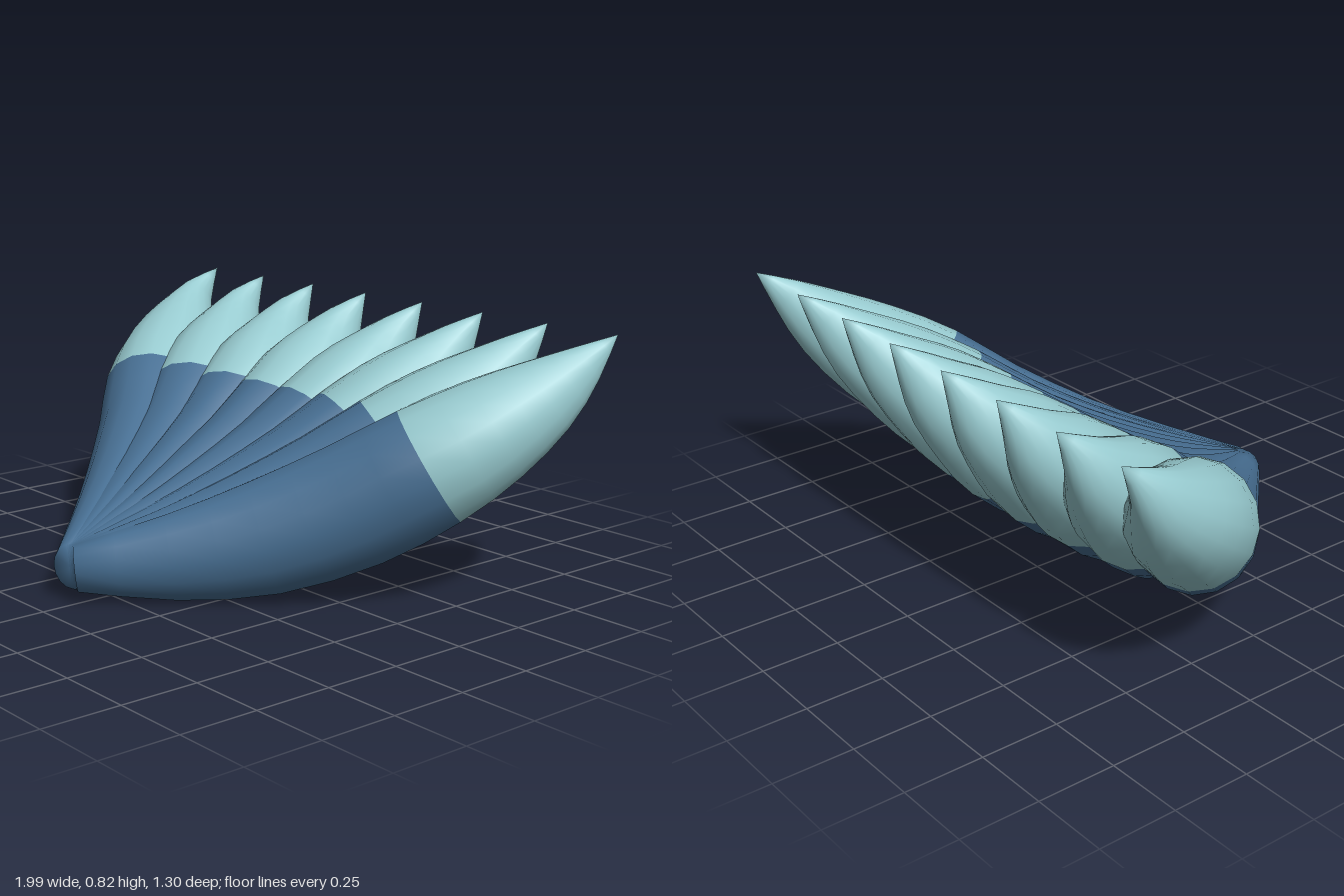
import * as THREE from 'three';

const SIDES = 16;
const FEATHERS = 8;
const STEPS = 2; // rings per station
const COLOUR_STATION = 4; // station where the pale tip begins

// Stations from root to tip:
// [centre x, sideways spread, y, z of middle feathers, z of outer feathers, half width, half height]
const STATIONS = [
  [-0.035, 0.01, 0.115, 0.612, 0.612, 0.06, 0.075],
  [-0.03, 0.18, 0.146, 0.37, 0.38, 0.11, 0.136],
  [-0.03, 0.35, 0.205, 0.12, 0.15, 0.155, 0.182],
  [-0.025, 0.53, 0.315, -0.13, -0.06, 0.18, 0.2],
  [-0.02, 0.68, 0.44, -0.305, -0.21, 0.19, 0.195],
  [-0.02, 0.795, 0.553, -0.42, -0.36, 0.17, 0.167],
  [-0.01, 0.88, 0.655, -0.52, -0.48, 0.112, 0.122],
  [0.01, 0.93, 0.75, -0.592, -0.572, 0.05, 0.064],
  [0.04, 0.95, 0.835, -0.655, -0.655, 0, 0],
];

// Smooth curve through one column of the stations
function smooth(j, f, column) {
  const at = (i) => STATIONS[Math.min(Math.max(i, 0), STATIONS.length - 1)][column];
  const [a, b, c, d] = [at(j - 1), at(j), at(j + 1), at(j + 2)];
  return b + 0.5 * f * (c - a + f * (2 * a - 5 * b + 4 * c - d + f * (3 * (b - c) + d - a)));
}

const RINGS = [];
for (let j = 0; j < STATIONS.length - 1; j++) {
  for (let s = 0; s < STEPS; s++) {
    RINGS.push(STATIONS[j].map((_, column) => smooth(j, s / STEPS, column)));
  }
}
RINGS.push(STATIONS[STATIONS.length - 1]);

// One plump feather; u runs from -1 (right end of the fan) to 1 (left end)
function featherGeometry(u) {
  const centres = RINGS.map(([cx, spread, y, zMid, zOut]) =>
    new THREE.Vector3(cx + u * spread, y, zMid + (zOut - zMid) * u * u));
  const up = new THREE.Vector3(0, 1, 0);
  const last = RINGS.length - 1;
  const positions = [];

  // Oval rings square to the feather's centre line
  for (let j = 0; j < last; j++) {
    const along = centres[j + 1].clone().sub(centres[Math.max(j - 1, 0)]).normalize();
    const across = along.clone().cross(up).normalize();
    const above = across.clone().cross(along);
    const [, , , , , w, h] = RINGS[j];
    for (let k = 0; k < SIDES; k++) {
      const a = (k / SIDES) * Math.PI * 2;
      const p = centres[j].clone()
        .addScaledVector(across, w * Math.cos(a))
        .addScaledVector(above, h * Math.sin(a));
      positions.push(p.x, p.y, p.z);
    }
  }
  const tip = last * SIDES;
  const root = tip + 1;
  positions.push(...centres[last].toArray(), ...centres[0].toArray());

  const index = [];
  let split = 0;
  for (let k = 0; k < SIDES; k++) index.push(root, k, (k + 1) % SIDES);
  for (let j = 0; j < last; j++) {
    if (j === COLOUR_STATION * STEPS) split = index.length;
    for (let k = 0; k < SIDES; k++) {
      const a = j * SIDES + k;
      const b = j * SIDES + (k + 1) % SIDES;
      if (j === last - 1) index.push(a, tip, b);
      else index.push(a, a + SIDES, b, b, a + SIDES, b + SIDES);
    }
  }

  const geometry = new THREE.BufferGeometry();
  geometry.setAttribute('position', new THREE.Float32BufferAttribute(positions, 3));
  geometry.setIndex(index);
  geometry.addGroup(0, split, 0);
  geometry.addGroup(split, index.length - split, 1);
  geometry.computeVertexNormals();
  return geometry;
}

export function createModel() {
  const deepBlue = new THREE.MeshStandardMaterial({ color: 0x487094 });
  deepBlue.name = 'deepBlue';
  const paleTeal = new THREE.MeshStandardMaterial({ color: 0x98cbd0 });
  paleTeal.name = 'paleTeal';

  const fan = new THREE.Group();
  fan.name = 'featherFan';
  for (let i = 0; i < FEATHERS; i++) {
    const u = (2 * i) / (FEATHERS - 1) - 1;
    const feather = new THREE.Mesh(featherGeometry(u), [deepBlue, paleTeal]);
    feather.name = `feather${i + 1}`;
    fan.add(feather);
  }
  return fan;
}
